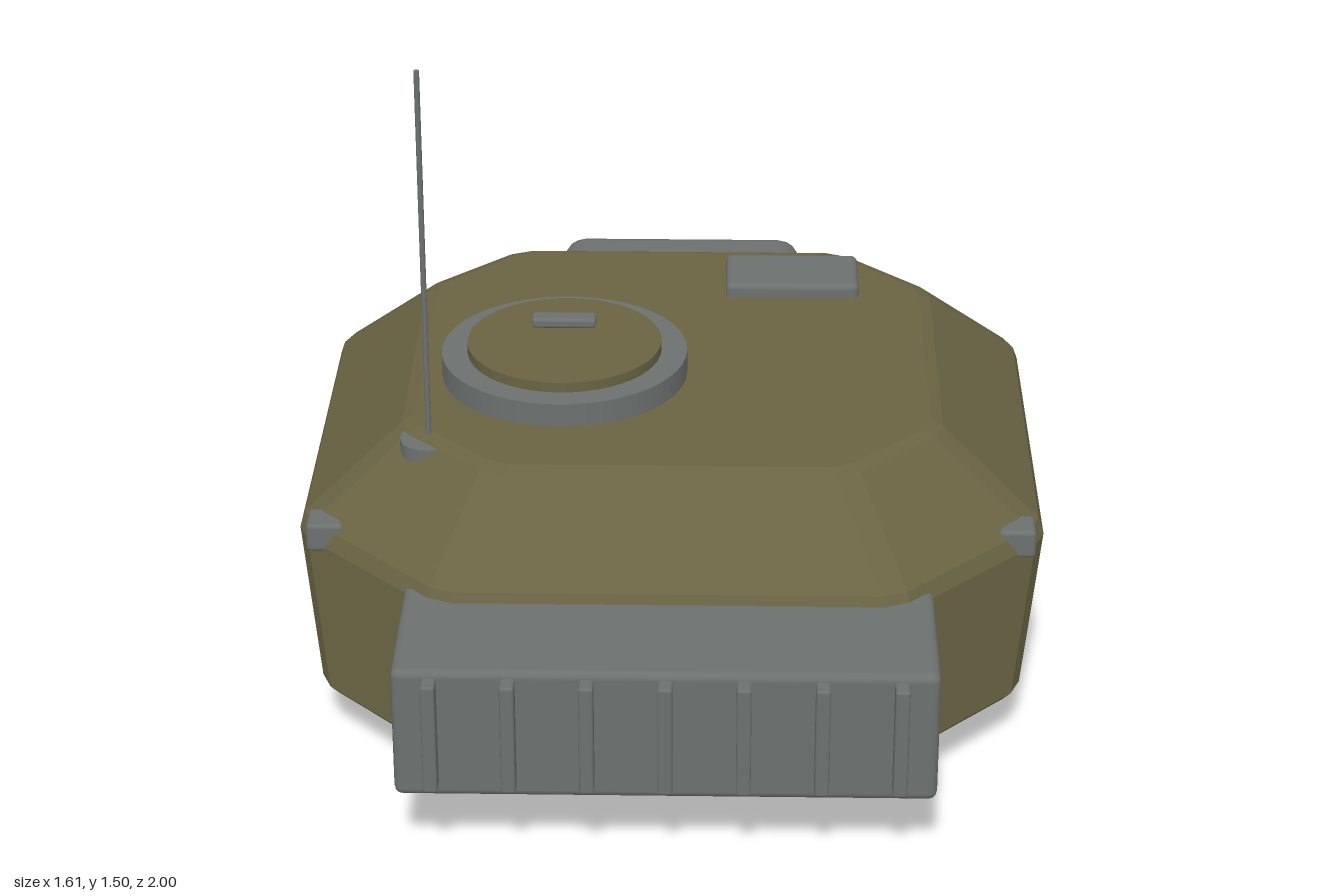
import * as THREE from 'three';
import { RoundedBoxGeometry } from 'three/addons/geometries/RoundedBoxGeometry.js';

const olive = new THREE.MeshStandardMaterial({ color: 0x6a6343 });
olive.name = 'olive paint';
const steel = new THREE.MeshStandardMaterial({ color: 0x6c716f });
steel.name = 'grey steel';

// Octagon outline at height y: half width, back and front z, corner cut
function octagon(y, hw, z0, z1, cut) {
  const cx = hw - cut;
  const half = [[cx, z1], [hw, z1 - cut], [hw, z0 + cut], [cx, z0]];
  const all = [...half, ...half.map(([x, z]) => [-x, z]).reverse()];
  return all.map(([x, z]) => new THREE.Vector3(x, y, z));
}

// Replace every corner by two points so the upright edges are bevelled
function bevel(ring, d) {
  const n = ring.length;
  return ring.flatMap((p, i) => [ring[(i + n - 1) % n], ring[(i + 1) % n]].map((q) =>
    p.clone().add(q.clone().sub(p).setLength(d))));
}

const mix = (a, b, t) => a.map((p, i) => p.clone().lerp(b[i], t));

// Closed solid through a stack of rings, flat faces
function loft(rings) {
  const pos = [];
  const tri = (...pts) => pts.forEach((p) => pos.push(p.x, p.y, p.z));
  const n = rings[0].length;
  for (let r = 0; r < rings.length - 1; r++) {
    const a = rings[r], b = rings[r + 1];
    for (let i = 0; i < n; i++) {
      const j = (i + 1) % n;
      tri(a[i], a[j], b[j]);
      tri(a[i], b[j], b[i]);
    }
  }
  const lo = rings[0], hi = rings[rings.length - 1];
  for (let i = 1; i < n - 1; i++) {
    tri(hi[0], hi[i], hi[i + 1]);
    tri(lo[0], lo[i + 1], lo[i]);
  }
  const geo = new THREE.BufferGeometry();
  geo.setAttribute('position', new THREE.Float32BufferAttribute(pos, 3));
  geo.computeVertexNormals();
  return geo;
}

export function createModel() {
  const model = new THREE.Group();
  model.name = 'turret';

  const add = (name, geo, mat, x = 0, y = 0, z = 0) => {
    const mesh = new THREE.Mesh(geo, mat);
    mesh.name = name;
    mesh.position.set(x, y, z);
    model.add(mesh);
    return mesh;
  };
  // Rounded box given by its extents
  const box = (name, mat, [x0, x1], [y0, y1], [z0, z1], radius, segments = 2) =>
    add(name, new RoundedBoxGeometry(x1 - x0, y1 - y0, z1 - z0, segments, radius), mat,
      (x0 + x1) / 2, (y0 + y1) / 2, (z0 + z1) / 2);
  // Upright cylinder given by its bottom and top
  const disc = (name, mat, r, y0, y1, x, z, sides = 48) =>
    add(name, new THREE.CylinderGeometry(r, r, y1 - y0, sides), mat, x, (y0 + y1) / 2, z);

  // Armoured body
  const base = bevel(octagon(0.115, 0.757, -0.897, 0.737, 0.27), 0.03);
  const waist = bevel(octagon(0.468, 0.808, -0.866, 0.692, 0.325), 0.03);
  const roof = bevel(octagon(0.667, 0.575, -0.635, 0.475, 0.2), 0.03);
  const inset = (ring, y, s) => ring.map((p) => new THREE.Vector3(p.x * s, y, (p.z + 0.08) * s - 0.08));
  add('body', loft([
    inset(base, 0.11, 0.98),
    mix(base, waist, 0.04),
    mix(base, waist, 0.94),
    mix(waist, roof, 0.06),
    mix(waist, roof, 0.95),
    inset(roof, 0.667, 0.975),
  ]), olive);

  // Bearing ring underneath
  disc('turretRing', steel, 0.674, 0, 0.13, 0, -0.078);

  // Front gun shield with upright ribs
  box('gunShield', steel, [-0.555, 0.555], [0.163, 0.46], [0.5, 0.963], 0.018);
  for (let i = -3; i <= 3; i++) {
    const x = i * 0.159;
    box('shieldRib', steel, [x - 0.015, x + 0.015], [0.195, 0.445], [0.94, 1], 0.006);
  }

  // Rear stowage box
  box('rearBox', steel, [-0.293, 0.293], [0.148, 0.55], [-1, -0.66], 0.055);

  // Round hatch with lid and handle
  const hx = -0.243, hz = 0.015;
  disc('hatchRing', steel, 0.272, 0.64, 0.721, hx, hz);
  disc('hatchLid', olive, 0.215, 0.7, 0.744, hx, hz);
  box('hatchHandle', steel, [hx - 0.071, hx + 0.071], [0.78, 0.804], [hz - 0.02, hz + 0.022], 0.008);

  // Small roof hatch
  box('roofHatch', steel, [0.112, 0.42], [0.64, 0.701], [-0.548, -0.372], 0.015);

  // Aerial and its mount
  disc('aerialMount', steel, 0.062, 0.59, 0.654, -0.522, 0.317, 20);
  disc('aerial', steel, 0.006, 0.6, 1.5, -0.522, 0.317, 10);

  // Lifting lugs on the front corners
  for (const s of [-1, 1]) {
    add('liftingLug', new RoundedBoxGeometry(0.08, 0.065, 0.08, 2, 0.01), steel, s * 0.742, 0.468, 0.395);
  }

  return model;
}
